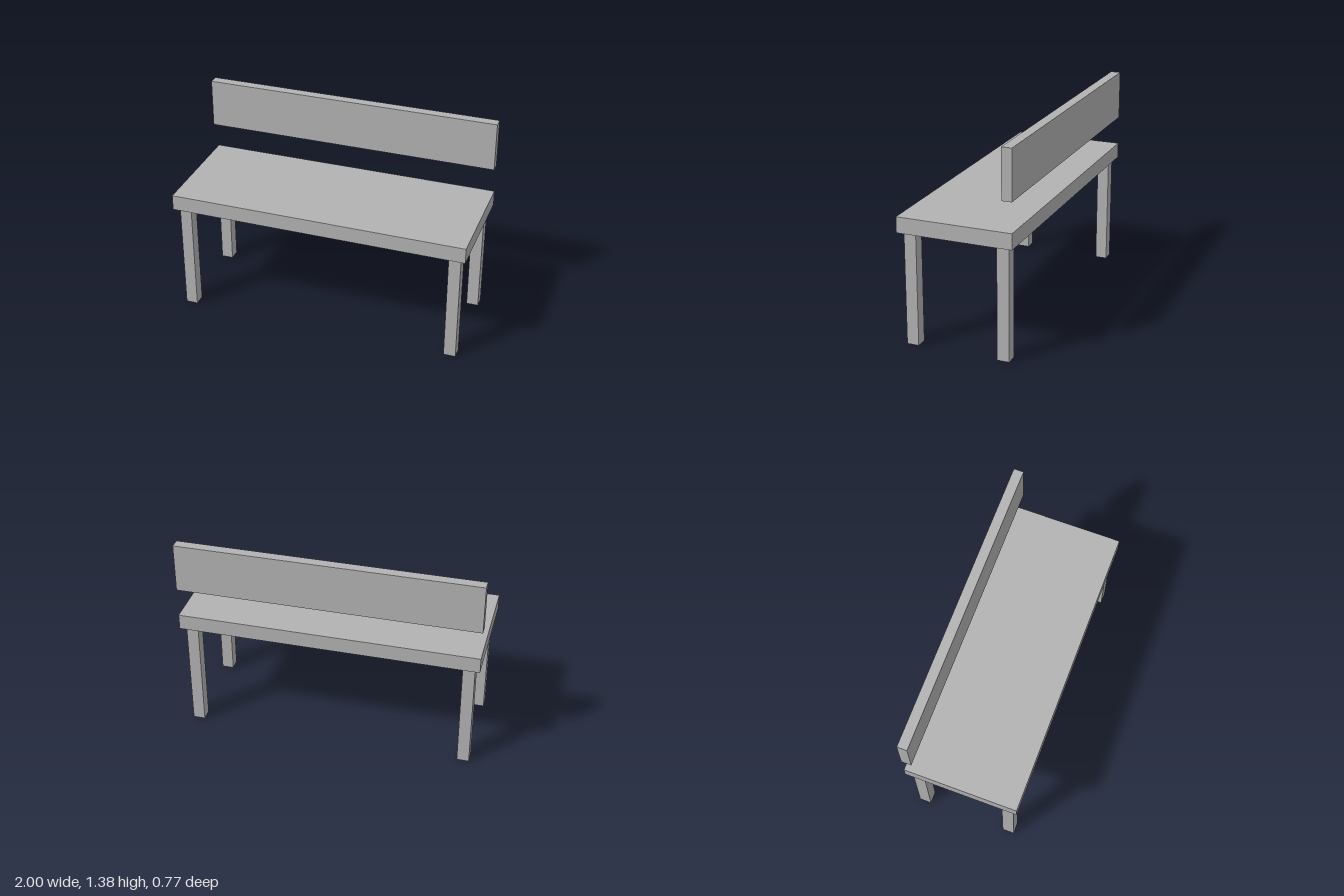
import * as THREE from 'three';

export function createModel() {
  const group = new THREE.Group();
  group.name = 'bench';

  const grey = new THREE.MeshStandardMaterial({ color: 0xb2b2b2 });
  grey.name = 'grey';

  // Box given by its size and the centre of its underside
  function addBox(name, [w, h, d], [x, y, z]) {
    const mesh = new THREE.Mesh(new THREE.BoxGeometry(w, h, d), grey);
    mesh.name = name;
    mesh.position.set(x, y + h / 2, z);
    group.add(mesh);
  }

  const legHeight = 0.755;
  const depth = 0.766;
  const backThickness = 0.067;

  // Seat slab
  addBox('seat', [2, 0.105, depth], [0, legHeight, 0]);

  // Backrest board, floating flush with the rear edge of the seat
  addBox('backrest', [2, 0.33, backThickness], [0, 1.055, -(depth - backThickness) / 2]);

  // Four square legs, set in from the corners
  for (const [side, sx] of [['Left', 1], ['Right', -1]]) {
    for (const [end, sz] of [['front', 1], ['back', -1]]) {
      addBox(end + side + 'Leg', [0.08, legHeight, 0.08], [sx * 0.925, 0, sz * 0.309]);
    }
  }

  return group;
}
